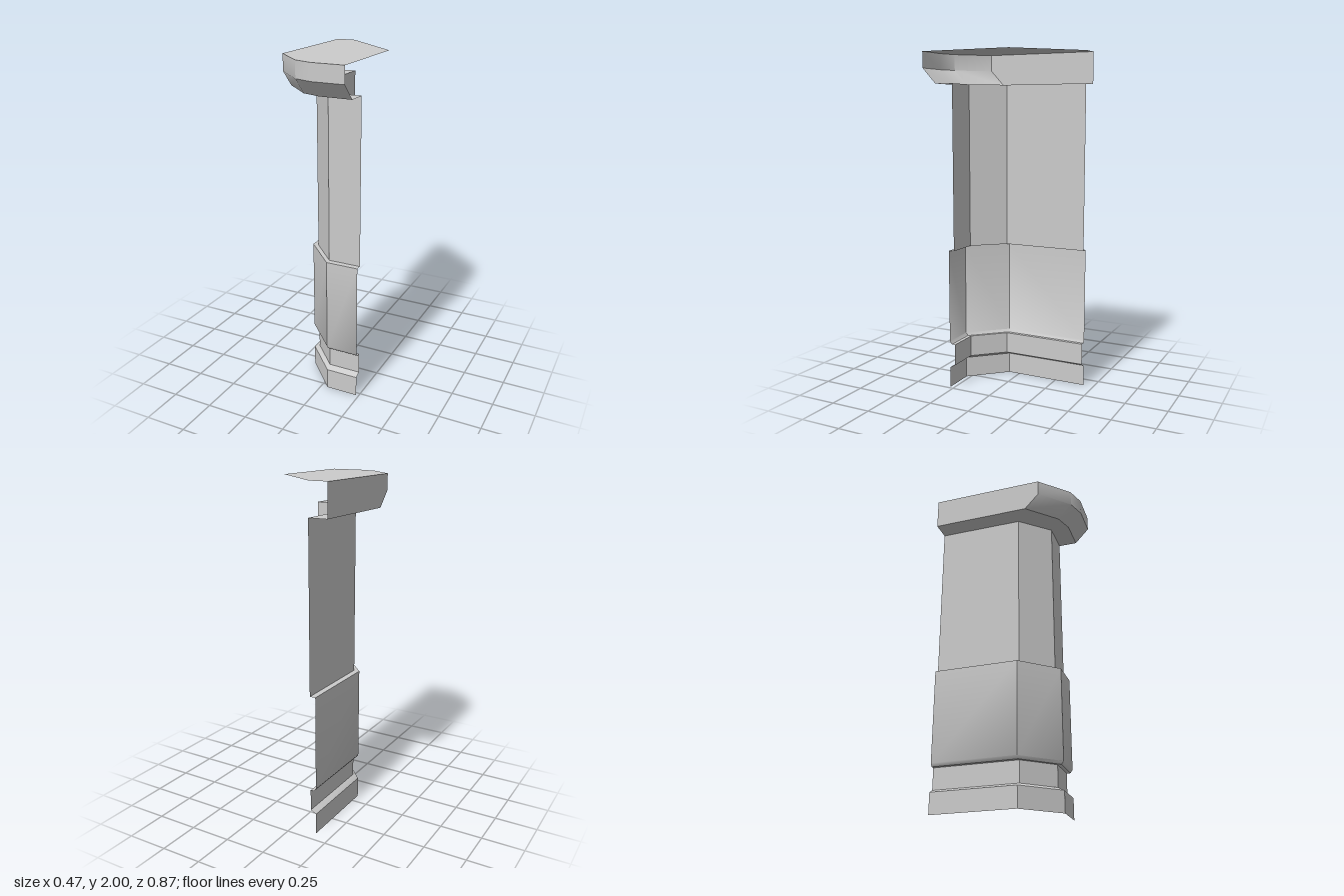
import * as THREE from 'three';
import { toCreasedNormals } from 'three/addons/utils/BufferGeometryUtils.js';

const RIGHT = 0.235, BACK = -0.437;

// Open outline [x, z] of the shaft, pushed outward by o; it ends on the two open sides.
const shaftOutline = (o) => [
  [RIGHT, 0.24 + o], [0.04, 0.24 + o], [-0.12 - o, 0.07], [-0.12 - o, BACK],
];

// Open outline of the cap; only its front edges slide back by s.
const capOutline = (s) => [
  [RIGHT, 0.437 - s], [0.045, 0.437 - s], [-0.065, 0.4 - s], [-0.235, 0.235 - s], [-0.235, BACK],
];

// Skin stacked rings { y, pts } into an open shell facing outward.
function loft(rings) {
  const pos = [];
  const put = (r, i) => pos.push(r.pts[i][0], r.y, r.pts[i][1]);
  for (let k = 0; k < rings.length - 1; k++) {
    const lo = rings[k], hi = rings[k + 1];
    for (let i = 0; i < lo.pts.length - 1; i++) {
      put(lo, i + 1); put(lo, i); put(hi, i);
      put(lo, i + 1); put(hi, i); put(hi, i + 1);
    }
  }
  const g = new THREE.BufferGeometry();
  g.setAttribute('position', new THREE.Float32BufferAttribute(pos, 3));
  return toCreasedNormals(g, 0.7);
}

export function createModel() {
  const group = new THREE.Group();
  const material = new THREE.MeshStandardMaterial({ color: 0xcccccc, side: THREE.DoubleSide });
  const add = (name, geometry) => {
    const mesh = new THREE.Mesh(geometry, material);
    mesh.name = name;
    group.add(mesh);
    return mesh;
  };
  // Profile steps are [height, outward offset].
  const addBand = (name, steps) =>
    add(name, loft(steps.map(([y, o]) => ({ y, pts: shaftOutline(o) }))));

  // Column, from the floor up
  addBand('base', [[0, 0.035], [0.125, 0.035], [0.143, 0]]);
  addBand('neck', [[0.143, 0], [0.27, 0]]);
  addBand('lowerPanel', [[0.27, 0], [0.27, 0.022], [0.288, 0.035], [0.843, 0.035], [0.843, 0]]);
  addBand('shaft', [[0.843, 0], [1.815, 0]]);

  // Soffit between the shaft and the cap; the chamfer is split to match the cap's points
  const inner = shaftOutline(0);
  inner.splice(2, 0, [-0.04, 0.155]);
  add('capSoffit', loft([{ y: 1.815, pts: inner }, { y: 1.815, pts: capOutline(0.085) }]));

  // Cap sides: sloped underside, then an upright rim
  add('capRim', loft([
    { y: 1.815, pts: capOutline(0.085) },
    { y: 1.905, pts: capOutline(0) },
    { y: 2, pts: capOutline(0) },
  ]));

  // Cap top with its rear corner cut away
  const outline = [...capOutline(0), [-0.125, BACK], [RIGHT, -0.12]];
  const shape = new THREE.Shape(outline.map(([x, z]) => new THREE.Vector2(x, -z)));
  add('capTop', new THREE.ShapeGeometry(shape).rotateX(-Math.PI / 2)).position.y = 2;

  return group;
}
